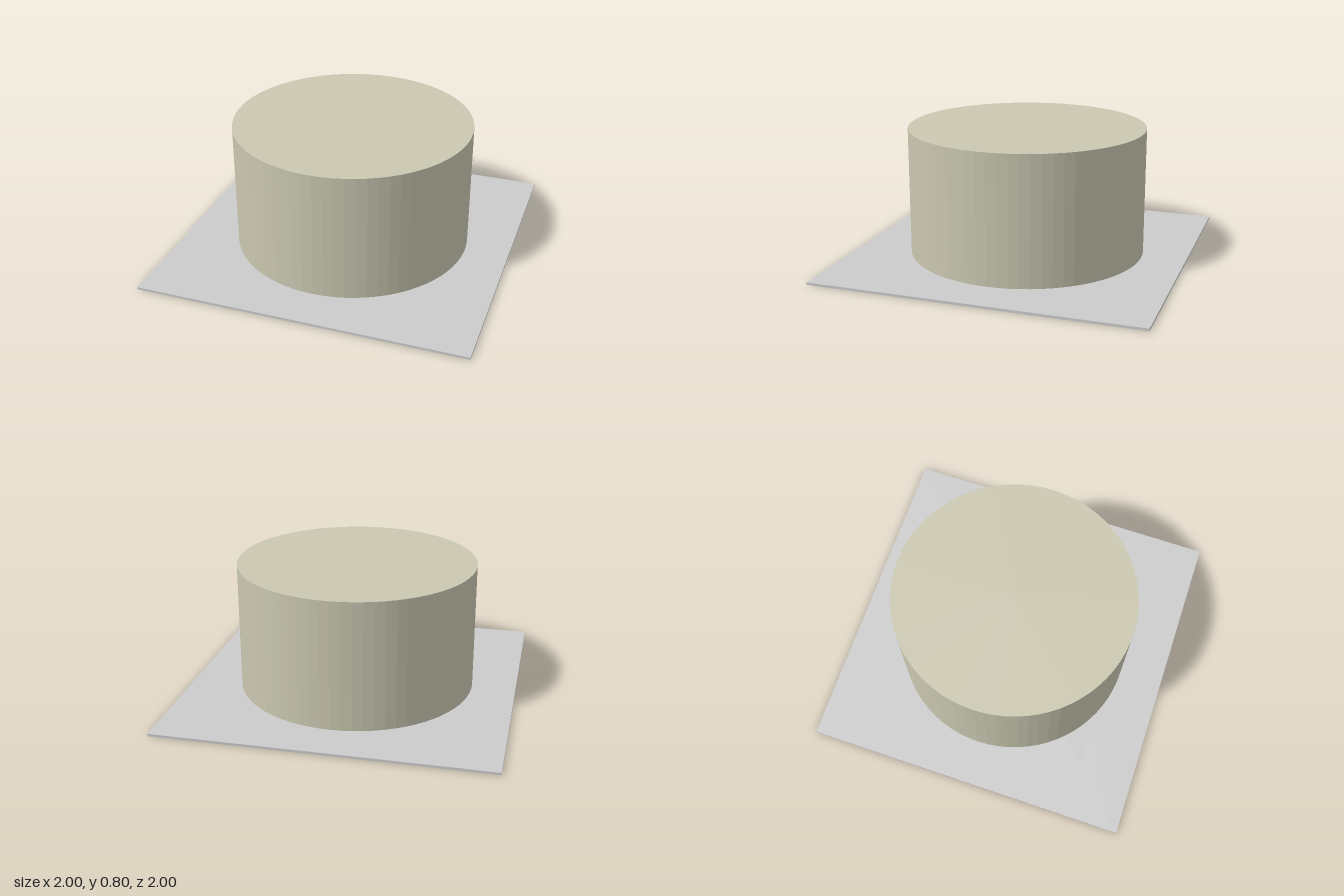
import * as THREE from 'three';

export function createModel() {
  const model = new THREE.Group();
  const boardHeight = 0.015;
  const cakeTop = 0.8;
  const cakeRadius = 0.73;

  const add = (name, geometry, color, x, y, z, options = {}) => {
    const mesh = new THREE.Mesh(geometry, new THREE.MeshStandardMaterial({ color, ...options }));
    mesh.name = name;
    mesh.position.set(x, y, z);
    model.add(mesh);
    return mesh;
  };

  // Thin square board
  add('board', new THREE.BoxGeometry(2, boardHeight, 2), 0xcccccc, 0, boardHeight / 2, 0);

  // Round cake with fine facets
  const cakeHeight = cakeTop - boardHeight;
  add('cake', new THREE.CylinderGeometry(cakeRadius, cakeRadius, cakeHeight, 72),
    0xcac7b1, 0, boardHeight + cakeHeight / 2, 0, { flatShading: true });

  // Blank label lying on the front right corner of the board
  const label = add('label', new THREE.PlaneGeometry(0.44, 0.22), 0xcccccc,
    -0.66, boardHeight + 0.001, 0.77, { side: THREE.DoubleSide });
  label.rotation.x = -Math.PI / 2;

  return model;
}
